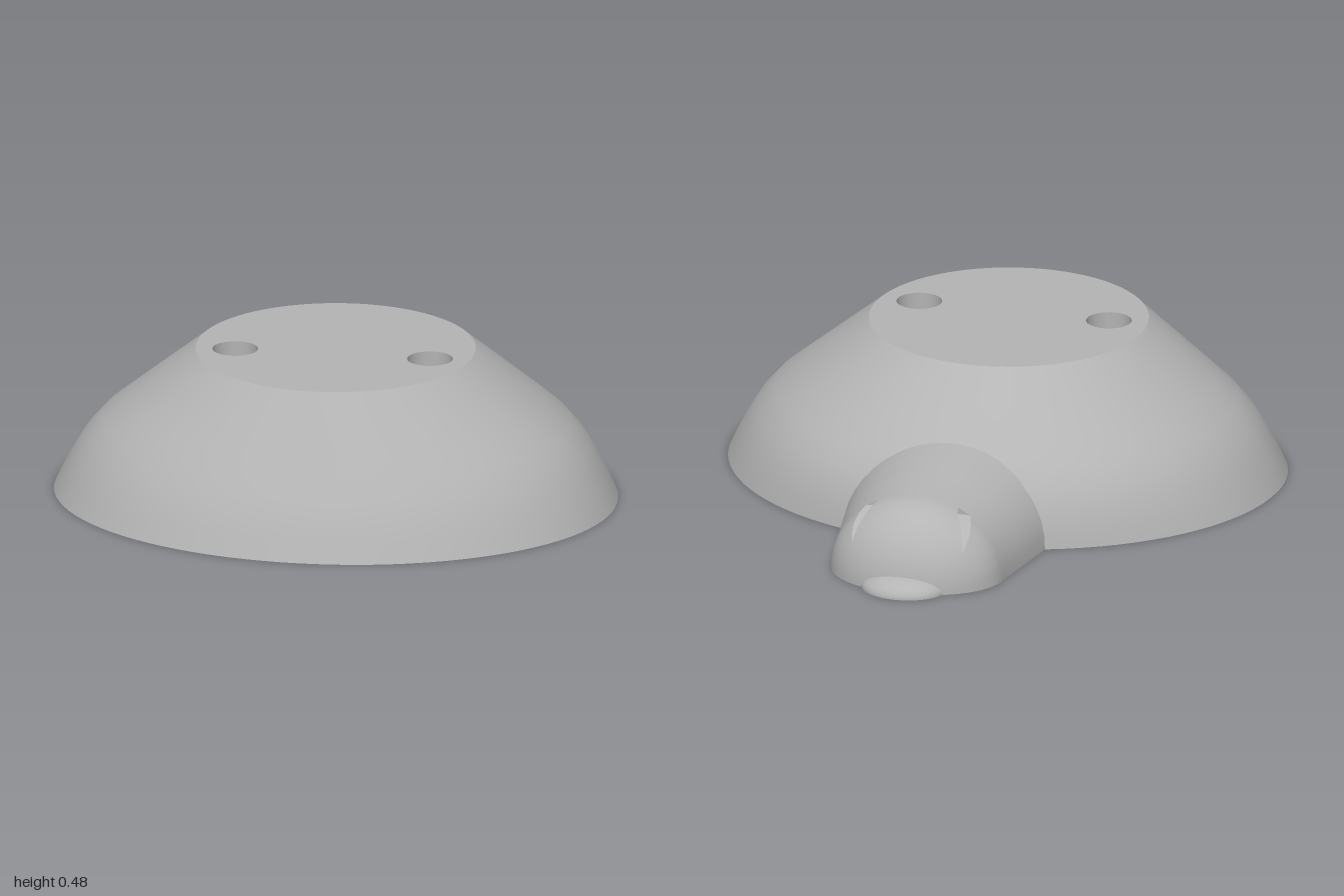
import * as THREE from 'three';
import { toCreasedNormals } from 'three/addons/utils/BufferGeometryUtils.js';

const rad = THREE.MathUtils.degToRad;

// Skin a grid of points (rows of columns); skip(i, j) leaves a cell open
function loft(rows, skip = () => false) {
  const n = rows[0].length, index = [];
  for (let i = 0; i < rows.length - 1; i++) {
    for (let j = 0; j < n - 1; j++) {
      if (skip(i, j)) continue;
      const a = i * n + j, b = a + 1, c = b + n, d = a + n;
      index.push(a, b, c, a, c, d);
    }
  }
  const g = new THREE.BufferGeometry();
  g.setAttribute('position', new THREE.Float32BufferAttribute(rows.flat(2), 3));
  g.setIndex(index);
  return toCreasedNormals(g, 0.7);
}

// Flat plate at height y from an outline of [x, z] pairs, with holes, facing up or down
function plate(outline, holes, y, up) {
  const s = up ? -1 : 1;
  const vecs = (pts) => pts.map(([x, z]) => new THREE.Vector2(x, z * s));
  const shape = new THREE.Shape(vecs(outline));
  shape.holes = holes.map((h) => new THREE.Path(vecs(h)));
  return new THREE.ShapeGeometry(shape).rotateX(s * Math.PI / 2).translate(0, y, 0);
}

function circle(x, z, r, n = 32) {
  return Array.from({ length: n }, (_, i) => {
    const t = i / n * Math.PI * 2;
    return [x + r * Math.sin(t), z + r * Math.cos(t)];
  });
}

export function createModel() {
  const model = new THREE.Group();
  const grey = new THREE.MeshStandardMaterial({ color: 0xb4b4b4, side: THREE.DoubleSide });
  grey.name = 'plainGrey';
  const add = (name, geometry) => {
    const mesh = new THREE.Mesh(geometry, grey);
    mesh.name = name;
    model.add(mesh);
    return mesh;
  };

  // Body: oval base rising to a round top; columns are height, side, front and back reach
  const cz = 0.29, N = 96;
  const levels = [
    [0, 0.89, 0.71, 0.785], [0.06, 0.862, 0.685, 0.78], [0.12, 0.83, 0.66, 0.765],
    [0.18, 0.793, 0.625, 0.74], [0.24, 0.74, 0.588, 0.692], [0.30, 0.665, 0.551, 0.634],
    [0.39, 0.553, 0.496, 0.538], [0.48, 0.44, 0.44, 0.44],
  ];
  const body = levels.map(([y, side, front, back]) => Array.from({ length: N + 1 }, (_, j) => {
    const t = j / N * Math.PI * 2, c = Math.cos(t);
    return [side * Math.sin(t), y, cz + c * (c > 0 ? front : back)];
  }));
  add('body', loft(body));

  // Round pits in the top and screw holes in the base
  const pits = [[-0.31, 0.35], [0.31, 0.35]];
  const screws = [[-0.43, 0.46], [0.43, 0.46], [0, -0.27]];
  const flat = (row) => row.slice(0, N).map(([x, , z]) => [x, z]);
  add('bodyTop', plate(flat(body.at(-1)), pits.map(([x, z]) => circle(x, z, 0.072)), 0.48, true));
  add('bodyBase', plate(flat(body[0]), screws.map(([x, z]) => circle(x, z, 0.035)), 0, false));
  const addPit = (name, x, z, r, y0, y1) => {
    const h = Math.abs(y1 - y0);
    add(name, new THREE.CylinderGeometry(r, r, h, 32, 1, true)).position.set(x, (y0 + y1) / 2, z);
    const end = add(name + 'End', new THREE.CircleGeometry(r, 32));
    end.rotation.x = y1 < y0 ? -Math.PI / 2 : Math.PI / 2;
    end.position.set(x, y1, z);
  };
  pits.forEach(([x, z]) => addPit('topPit', x, z, 0.072, 0.48, 0.28));
  screws.forEach(([x, z]) => addPit('screwHole', x, z, 0.035, 0, 0.12));

  // Head: tapered half-round neck ending in a dome, with curved eye slits left open
  const eyeEnd = 36.5, eyeRows = 8, neckRows = 3;
  const stations = [];
  for (let k = 0; k < neckRows; k++) {
    const t = 1 - k / neckRows;
    stations.push({ z: -0.73 + 0.4 * t, w: 0.28 + 0.068 * t, h: 0.255 + 0.037 * t, u: 0 });
  }
  const dome = (deg) => {
    const s = rad(deg), c = Math.cos(s);
    stations.push({ z: -0.73 - 0.212 * Math.sin(s), w: 0.28 * c, h: 0.255 * c, u: deg / eyeEnd });
  };
  for (let k = 0; k < eyeRows; k++) dome(eyeEnd * k / eyeRows);
  for (let k = 0; k <= 12; k++) dome(eyeEnd + (90 - eyeEnd) * k / 12);

  const head = stations.map(({ z, w, h, u }) => {
    // lo and hi are the angles of the slit's two edges
    const lo = u < 1 ? 53 - 16 * u : 37 - 6 * (u - 1);
    const hi = u < 1 ? 62 - 25 * u ** 1.8 : 37 + 6 * (u - 1);
    const half = [];
    for (let k = 0; k <= 6; k++) half.push(lo * k / 6);
    for (let k = 0; k <= 5; k++) half.push(hi + (90 - hi) * k / 5);
    const angles = [...half.map((a) => 180 - a), ...half.slice(0, -1).reverse()];
    return angles.map((a) => [w * Math.cos(rad(a)), h * Math.sin(rad(a)), z]);
  });
  const last = head[0].length - 1;
  const inEye = (i) => i >= neckRows && i < neckRows + eyeRows;
  add('head', loft(head, (i, j) => inEye(i) && (j === 6 || j === last - 7)));

  // Slit running across the head between the eyes
  const slit = head.slice(neckRows, neckRows + eyeRows + 1);
  add('eyeSlitFloor', loft(slit.map((r) => [r[6], r[last - 6]])));
  add('eyeSlitRoof', loft(slit.map((r) => [r[last - 7], r[7]])));
  add('eyeSlitEnd', loft([[slit[0][7], slit[0][last - 7]], [slit[0][6], slit[0][last - 6]]]));

  // Underside of the head with a narrow groove
  const gx = 0.2, gz = -0.77, gw = 0.012;
  const rim = [...head.map((r) => r[last]), ...head.slice(0, -1).map((r) => r[0]).reverse()];
  add('headBase', plate(rim.map(([x, , z]) => [x, z]),
    [[[-gx, gz - gw], [gx, gz - gw], [gx, gz + gw], [-gx, gz + gw]]], 0, false));
  const groove = new THREE.BoxGeometry(gx * 2, 0.05, gw * 2);
  const faces = Array.from(groove.index.array);
  faces.splice(18, 6); // open at the bottom
  groove.setIndex(faces);
  add('headGroove', groove).position.set(0, 0.025, gz);

  // Beak: small half ellipsoid at the tip
  const beak = add('beak', new THREE.SphereGeometry(1, 40, 12, 0, Math.PI * 2, 0, Math.PI / 2));
  beak.scale.set(0.14, 0.06, 0.12);
  beak.position.set(0, 0, -0.88);
  const beakBase = circle(0, 0, 1, 40).map(([x, z]) => [x * 0.14, z * 0.12 - 0.88]);
  add('beakBase', plate(beakBase, [], 0, false));

  return model;
}
